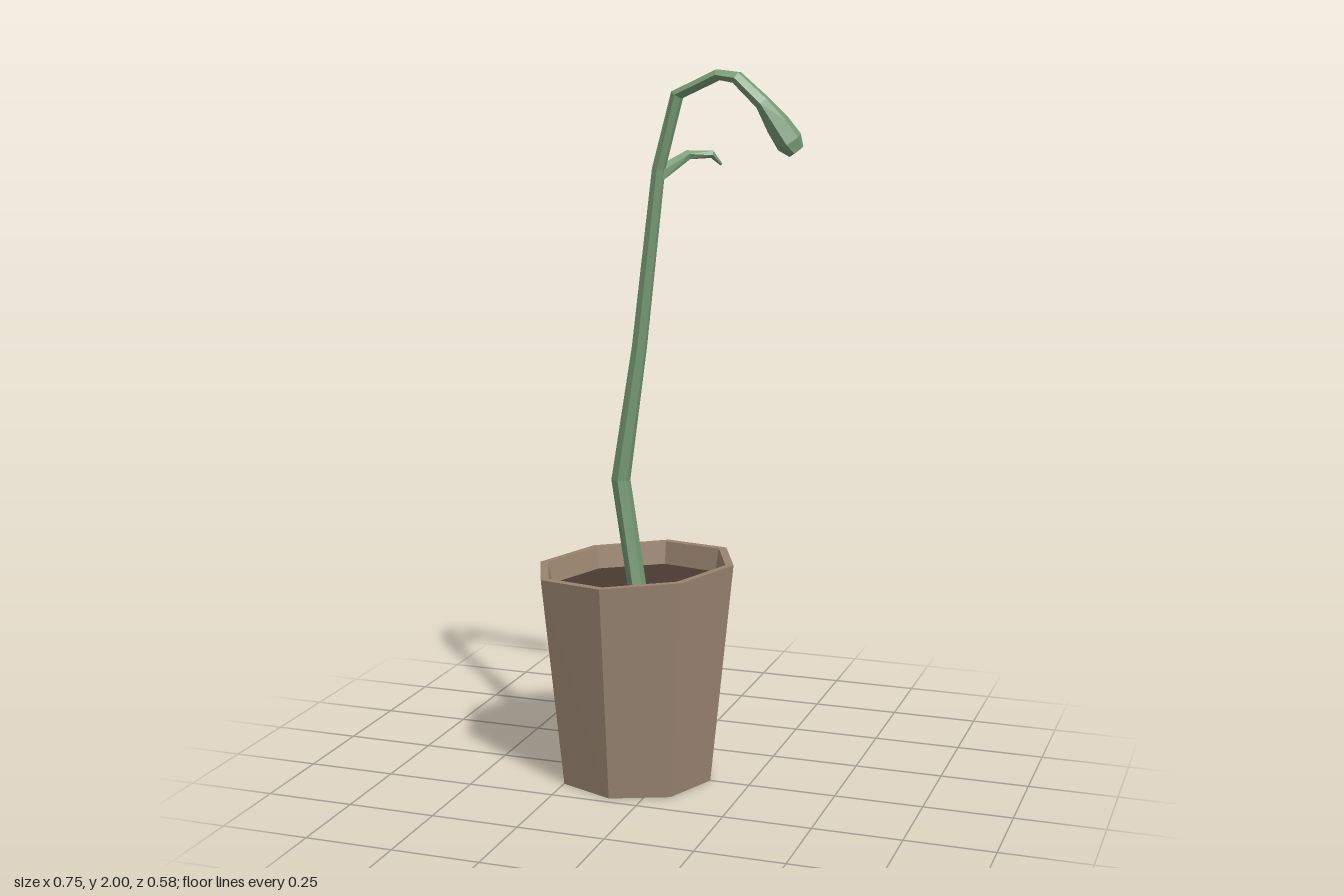
import * as THREE from 'three';

const material = (color) => new THREE.MeshStandardMaterial({ color, flatShading: true });

// Eight-sided turned part whose upper end leans: y rises towards +x
function turned(name, profile, mat) {
  const geo = new THREE.LatheGeometry(profile.map(([r, y]) => new THREE.Vector2(r, y)), 8);
  const p = geo.attributes.position;
  for (let i = 0; i < p.count; i++) {
    p.setY(i, p.getY(i) * (1 + 0.11 * p.getX(i)));
  }
  geo.computeVertexNormals();
  const mesh = new THREE.Mesh(geo, mat);
  mesh.name = name;
  mesh.position.x = -0.09;
  return mesh;
}

// Capped loft along stations [x, y, z, half width sideways, half width in the bend plane]
function loft(name, stations, sides, mat) {
  const pos = [], index = [];
  const centres = stations.map(([x, y, z]) => new THREE.Vector3(x, y, z));
  const last = stations.length - 1;
  stations.forEach(([, , , a, b], i) => {
    const before = centres[Math.max(i - 1, 0)], after = centres[Math.min(i + 1, last)];
    const t = after.clone().sub(before).normalize();
    const side = new THREE.Vector3(0, 0, 1).addScaledVector(t, -t.z).normalize();
    const n = t.clone().cross(side);
    for (let j = 0; j < sides; j++) {
      const ang = (j / sides) * Math.PI * 2;
      const v = centres[i].clone()
        .addScaledVector(side, Math.cos(ang) * a)
        .addScaledVector(n, Math.sin(ang) * b);
      pos.push(v.x, v.y, v.z);
      if (i < last) {
        const k = (j + 1) % sides, r = i * sides, s = r + sides;
        index.push(r + j, r + k, s + j, r + k, s + k, s + j);
      }
    }
  });
  // End caps
  for (let j = 1; j < sides - 1; j++) {
    const e = last * sides;
    index.push(0, j + 1, j, e, e + j, e + j + 1);
  }
  const geo = new THREE.BufferGeometry();
  geo.setAttribute('position', new THREE.Float32BufferAttribute(pos, 3));
  geo.setIndex(index);
  geo.computeVertexNormals();
  const mesh = new THREE.Mesh(geo, mat);
  mesh.name = name;
  return mesh;
}

export function createModel() {
  const model = new THREE.Group();
  model.name = 'pottedSprout';
  const clay = material(0x9a8570);
  const earth = material(0x4a3a32);
  const green = material(0x769a75);

  // Pot with rim and inner wall, and the soil inside it
  model.add(turned('pot', [[0, 0], [0.225, 0], [0.29, 0.62], [0.266, 0.62], [0.253, 0.55]], clay));
  model.add(turned('soil', [[0.254, 0.555], [0, 0.555]], earth));

  // Stem bending over at the top and swelling into a drooping bud
  model.add(loft('stemAndBud', [
    [-0.085, 0.54, -0.004, 0.034, 0.025],
    [-0.134, 0.86, -0.003, 0.028, 0.027],
    [-0.078, 1.24, -0.004, 0.018, 0.022],
    [-0.022, 1.73, -0.005, 0.016, 0.019],
    [0.03, 1.93, -0.008, 0.025, 0.018],
    [0.145, 1.984, -0.009, 0.029, 0.016],
    [0.197, 1.977, -0.009, 0.028, 0.018],
    [0.268, 1.912, -0.012, 0.029, 0.021],
    [0.305, 1.855, -0.03, 0.039, 0.034],
    [0.335, 1.808, -0.042, 0.044, 0.038],
    [0.353, 1.782, -0.047, 0.03, 0.023],
  ], 6, green));

  // Small side shoot reaching back and to the side
  model.add(loft('sideShoot', [
    [-0.022, 1.715, -0.005, 0.014, 0.022],
    [0.038, 1.765, -0.076, 0.014, 0.014],
    [0.095, 1.767, -0.112, 0.014, 0.011],
    [0.117, 1.738, -0.132, 0.005, 0.004],
  ], 5, green));

  return model;
}
